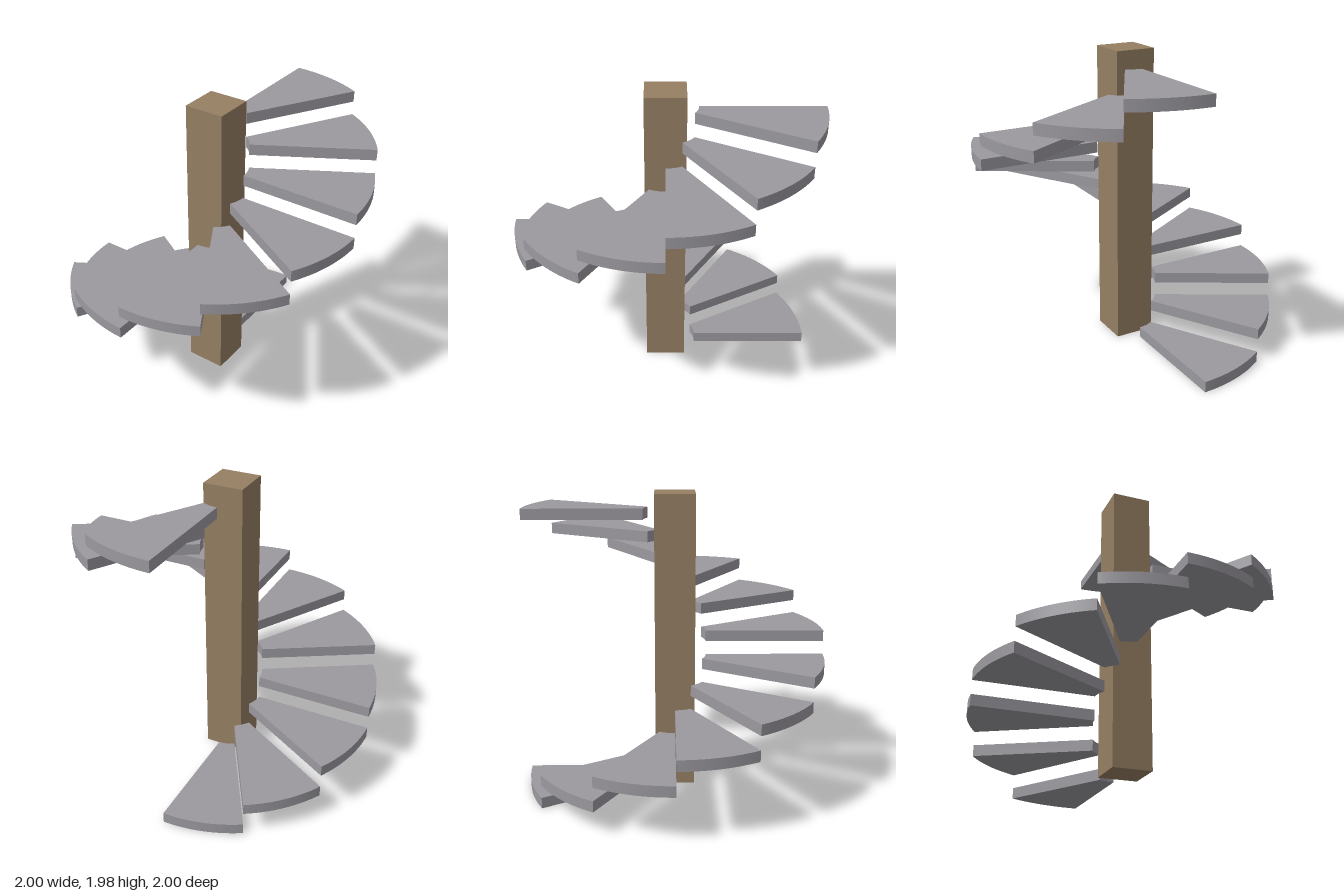
import * as THREE from 'three';

const STEPS = 12;
const ANGLE = (Math.PI * 2) / STEPS;
const RISE = 0.1636;
const THICKNESS = 0.073;
const INNER = 0.208;
const OUTER = 1;
const POST_WIDTH = 0.265;
const POST_HEIGHT = 1.98;

// Wedge tread: a ring sector lying flat, its underside on y = 0
function treadGeometry() {
  const shape = new THREE.Shape();
  shape.absarc(0, 0, OUTER, 0, ANGLE, false);
  shape.absarc(0, 0, INNER, ANGLE, 0, true);
  shape.closePath();
  const geometry = new THREE.ExtrudeGeometry(shape, {
    depth: THICKNESS,
    bevelEnabled: false,
    curveSegments: 12,
  });
  return geometry.rotateX(-Math.PI / 2);
}

export function createModel() {
  const model = new THREE.Group();
  model.name = 'spiralStaircase';
  const stone = new THREE.MeshStandardMaterial({ color: 0x9b999f });
  const wood = new THREE.MeshStandardMaterial({ color: 0x967f63 });

  // Square central post
  const post = new THREE.Mesh(new THREE.BoxGeometry(POST_WIDTH, POST_HEIGHT, POST_WIDTH), wood);
  post.name = 'centralPost';
  post.position.y = POST_HEIGHT / 2;
  model.add(post);

  // Treads climbing one full turn
  const treads = new THREE.Group();
  treads.name = 'treads';
  const geometry = treadGeometry();
  for (let i = 0; i < STEPS; i++) {
    const tread = new THREE.Mesh(geometry, stone);
    tread.name = `tread${i + 1}`;
    tread.position.y = i * RISE;
    tread.rotation.y = i * ANGLE;
    treads.add(tread);
  }
  model.add(treads);
  return model;
}
